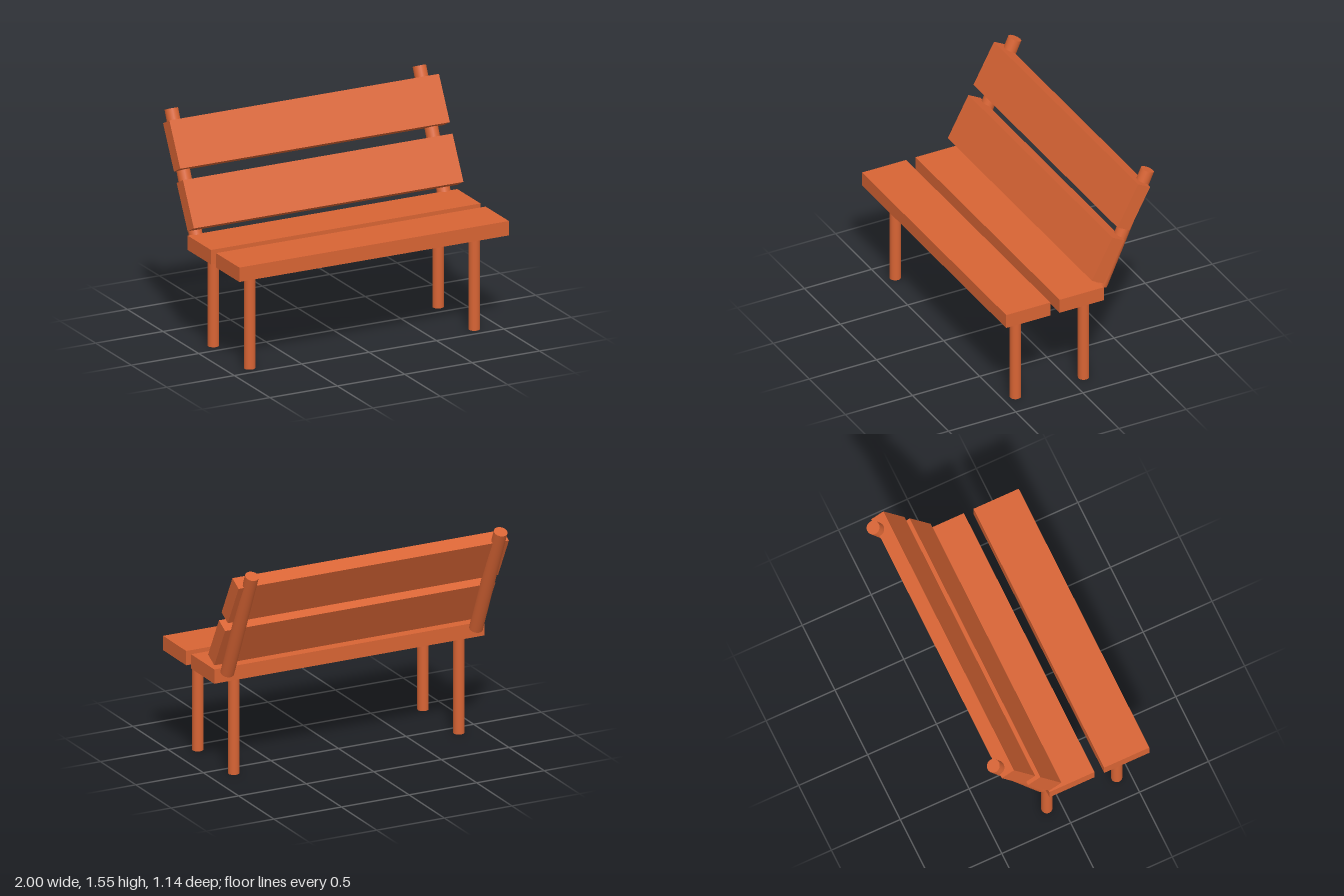
import * as THREE from 'three';

const wood = new THREE.MeshStandardMaterial({ color: 0xd86434 });

export function createModel() {
  const bench = new THREE.Group();
  bench.name = 'bench';

  const add = (name, geometry, x, y, z, lean = 0) => {
    const mesh = new THREE.Mesh(geometry, wood);
    mesh.name = name;
    mesh.position.set(x, y, z);
    mesh.rotation.x = -THREE.MathUtils.degToRad(lean);
    bench.add(mesh);
  };

  // Seat planks
  const seatPlank = new THREE.BoxGeometry(2, 0.1, 0.328);
  add('frontSeatPlank', seatPlank, 0, 0.721, 0.407);
  add('backSeatPlank', seatPlank, 0, 0.721, 0.009);

  // Backrest planks, leaning back
  const backPlank = new THREE.BoxGeometry(2, 0.327, 0.1);
  add('lowerBackPlank', backPlank, 0, 0.968, -0.188, 28);
  add('upperBackPlank', backPlank, 0, 1.324, -0.379, 28);

  // Round legs and the round posts behind the backrest
  const leg = new THREE.CylinderGeometry(0.038, 0.038, 0.671, 20);
  const post = new THREE.CylinderGeometry(0.046, 0.046, 0.861, 20);
  const sides = [
    { side: 'right', legX: -0.839, postX: -0.925 },
    { side: 'left', legX: 0.827, postX: 0.915 },
  ];
  for (const { side, legX, postX } of sides) {
    add(`${side}FrontLeg`, leg, legX, 0.3355, 0.41);
    add(`${side}BackLeg`, leg, legX, 0.3355, -0.097);
    add(`${side}BackPost`, post, postX, 1.134, -0.351, 24);
  }

  return bench;
}
